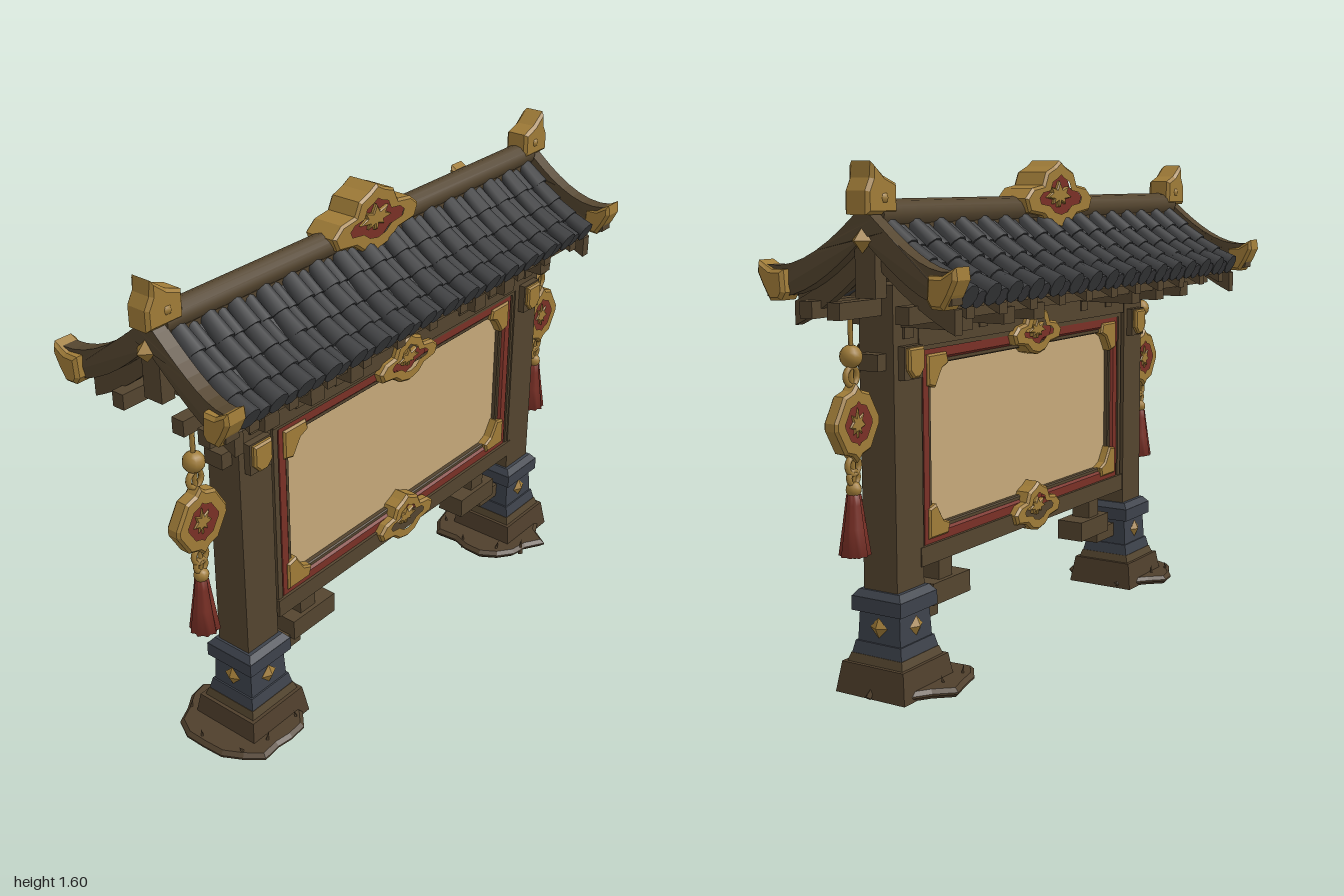
import * as THREE from 'three';

const mat = (name, color) => {
  const m = new THREE.MeshStandardMaterial({ color });
  m.name = name;
  return m;
};

export function createModel() {
  const wood = mat('dark wood', 0x54452f), tile = mat('roof tile', 0x3b3c3e), gold = mat('aged gold', 0xa07c38);
  const red = mat('dark red', 0x7a3026), cream = mat('parchment', 0xc6a97a), iron = mat('blue grey stone', 0x3d424b);
  const earth = mat('earth', 0x4f3f2c);
  const model = new THREE.Group();
  model.name = 'noticeBoard';
  const ZP = 0.115, ZR = 0.01; // post plane and ridge plane

  let seed = 7;
  const rnd = () => (seed = (seed * 16807) % 2147483647) / 2147483647;

  const group = (name, x = 0, y = 0, z = 0, parent = model) => {
    const g = new THREE.Group();
    g.name = name;
    g.position.set(x, y, z);
    parent.add(g);
    return g;
  };
  const add = (parent, name, geo, material, x = 0, y = 0, z = 0) => {
    const m = new THREE.Mesh(geo, material);
    m.name = name;
    m.position.set(x, y, z);
    parent.add(m);
    return m;
  };
  const box = (parent, name, material, w, h, d, x, y, z) =>
    add(parent, name, new THREE.BoxGeometry(w, h, d), material, x, y, z);
  const toShape = (pts) => new THREE.Shape(pts.map(([x, y]) => new THREE.Vector2(x, y)));
  const slab = (shape, depth, bevel = 0) => new THREE.ExtrudeGeometry(shape, {
    depth: depth - 2 * bevel, bevelEnabled: bevel > 0, bevelSize: bevel, bevelOffset: -bevel,
    bevelThickness: bevel, bevelSegments: 1, curveSegments: 8,
  }).translate(0, 0, -depth / 2 + bevel);
  const toSide = (geo) => geo.rotateY(-Math.PI / 2); // profile (z, y) extruded along x
  const mirrored = (half, w, h) => {
    const left = half.filter(([x]) => x > 0).map(([x, y]) => [-x, y]).reverse();
    return toShape([...half, ...left].map(([x, y]) => [x * w, y * h]));
  };

  // Ornament outlines, right half from top to bottom
  const cloud = [[0, 1], [0.17, 0.82], [0.4, 0.66], [0.5, 0.28], [0.8, 0.2], [1, -0.1], [0.9, -0.5], [0.5, -0.6], [0.3, -0.88], [0, -1]];
  const diamond = [[0, 1], [0.2, 0.82], [0.58, 0.72], [0.78, 0.42], [1, 0.1], [1, -0.1], [0.78, -0.42], [0.58, -0.72], [0.2, -0.82], [0, -1]];
  const blossom = [[0, 1], [0.22, 0.4], [0.75, 0.6], [0.6, 0.15], [1, -0.2], [0.45, -0.35], [0.5, -0.7], [0.12, -0.5], [0.1, -0.9], [0, -0.9]];
  const medallion = (name, parent, half, w, h, d, x, y, z) => {
    const g = group(name, x, y, z, parent);
    const core = mirrored(half, w, h);
    core.holes.push(mirrored(half, w * 0.68, h * 0.66));
    add(g, 'goldRim', slab(core, d, 0.008), gold);
    add(g, 'redField', slab(mirrored(half, w * 0.74, h * 0.72), d * 0.75), red);
    add(g, 'blossom', slab(mirrored(blossom, w * 0.36, h * 0.4), d * 0.95, 0.004), gold);
    return g;
  };

  // Posts with stone feet, studs and earth mounds
  [[-1, -0.717, -0.765, 0.19], [1, 0.693, 0.64, 0.21]].forEach(([s, px, ex, er]) => {
    const g = group(s < 0 ? 'rightPost' : 'leftPost', px, 0, ZP);
    box(g, 'post', wood, 0.135, 0.97, 0.125, 0, 0.765, 0);
    box(g, 'clampBlock', wood, 0.09, 0.1, 0.17, 0, 1.02, 0);
    box(g, 'beamEnd', wood, 0.215, 0.05, 0.07, 0, 1.025, 0);
    for (const f of [-1, 1]) {
      const shield = toShape([[-0.038, 0.045], [0.038, 0.045], [0.038, -0.02], [0.015, -0.045], [-0.015, -0.045], [-0.038, -0.02]]);
      add(g, 'shieldPlate', slab(shield, 0.02, 0.006), gold, 0, 1.02, f * 0.09);
    }
    const foot = (name, material, wt, wb, h, y) => add(g, name,
      new THREE.CylinderGeometry(wt * Math.SQRT1_2, wb * Math.SQRT1_2, h, 4).toNonIndexed().rotateY(Math.PI / 4), material, 0, y, 0).geometry.computeVertexNormals();
    foot('plinth', earth, 0.23, 0.26, 0.095, 0.06);
    foot('plinthStep', wood, 0.19, 0.21, 0.03, 0.118);
    foot('footBase', iron, 0.17, 0.19, 0.045, 0.148);
    foot('footBody', iron, 0.15, 0.16, 0.1, 0.215);
    foot('footCap', iron, 0.185, 0.185, 0.045, 0.288);
    foot('footCapTop', iron, 0.15, 0.185, 0.022, 0.32);
    for (let i = 0; i < 4; i++) {
      const stud = add(g, 'stud', new THREE.OctahedronGeometry(0.032, 0).scale(1, 1, 0.5), gold);
      stud.position.set(Math.sin(i * Math.PI / 2) * 0.08, 0.22, Math.cos(i * Math.PI / 2) * 0.08);
      stud.rotation.y = i * Math.PI / 2;
    }
    // Ragged mound
    const rim = [];
    for (let i = 0; i < 18; i++) {
      const a = i / 18 * Math.PI * 2, r = 0.78 + 0.26 * rnd();
      rim.push([Math.cos(a) * er * r, Math.sin(a) * 0.22 * r]);
    }
    add(model, 'earthMound', slab(toShape(rim), 0.03, 0.012).rotateX(-Math.PI / 2), earth, ex, 0.027, ZP);
    for (let i = 0; i < 8; i++) {
      const a = i * 2.4, r = 0.65 + 0.25 * rnd();
      const tuft = add(model, 'tuft', new THREE.ConeGeometry(0.012, 0.06, 4), earth, ex + Math.cos(a) * er * r, 0.04, ZP + Math.sin(a) * 0.2 * r);
      tuft.rotation.z = (rnd() - 0.5) * 1.6;
    }
    // Stepped bracket under the board
    const b = group('lowerBracket', s * 0.46, 0, ZP);
    box(b, 'bracketBlock', wood, 0.2, 0.07, 0.1, 0, 0.275, 0);
    box(b, 'bracketNeck', wood, 0.07, 0.09, 0.07, s * 0.015, 0.345, 0);
    box(b, 'bracketArm', wood, 0.13, 0.05, 0.06, s * 0.115, 0.225, 0);
  });

  // Board: beams, red frame, panel and gold trim on both faces
  const board = group('board', 0, 0.745, ZP);
  box(board, 'bottomBeam', wood, 1.28, 0.06, 0.13, 0, -0.33, 0);
  box(board, 'topBeam', wood, 1.28, 0.075, 0.13, 0, 0.352, 0);
  const rect = (w, h) => toShape([[-w, -h], [w, -h], [w, h], [-w, h]]);
  const frame = (name, material, w, h, t, d, bevel) => {
    const f = rect(w, h);
    f.holes.push(rect(w - t, h - t));
    add(board, name, slab(f, d, bevel), material);
  };
  frame('outerFrame', wood, 0.635, 0.32, 0.02, 0.115, 0);
  frame('redFrame', red, 0.62, 0.312, 0.052, 0.11, 0.012);
  frame('innerTrim', wood, 0.575, 0.268, 0.018, 0.095, 0.004);
  box(board, 'panel', cream, 1.13, 0.52, 0.06, 0, 0, 0);
  for (const sx of [-1, 1]) for (const sy of [-1, 1]) {
    const pts = [[0.59, 0.285], [0.49, 0.285], [0.48, 0.25], [0.515, 0.235], [0.535, 0.205], [0.55, 0.18], [0.59, 0.19]];
    add(board, 'cornerPlate', slab(toShape(pts.map(([x, y]) => [x * sx, y * sy])), 0.125, 0.006), gold);
  }
  medallion('topMedallion', board, cloud, 0.15, 0.085, 0.17, -0.01, 0.31, 0);
  medallion('bottomMedallion', board, cloud, 0.145, 0.085, 0.17, -0.01, -0.295, 0);

  // Roof: strips that follow the sagging slope
  const slope = (s) => 1.43 - 0.95 * s + 0.9 * s * s;
  const strip = (S, top, bottom, thick, lift = 0) => {
    const y = (s) => slope(Math.abs(s)) + lift * Math.pow(Math.abs(s) / 0.33, 4);
    const ss = Array.from({ length: 17 }, (_, i) => (i / 8 - 1) * S);
    return toSide(slab(toShape([...ss.map((s) => [s, y(s) + top]), ...ss.slice().reverse().map((s) => [s, y(s) + bottom])]), thick));
  };
  const roof = group('roof', 0, 0, ZR);
  add(roof, 'tileBed', strip(0.28, 0.005, -0.015, 1.8), tile);
  add(roof, 'roofDeck', strip(0.275, -0.015, -0.03, 1.8), wood);
  for (let i = 0; i < 11; i++) add(roof, 'rafter', strip(0.27, -0.03, -0.065, 0.04), wood, -0.82 + i * 0.164);

  // Overlapping barrel tiles and lower pan tiles
  const up = new THREE.Vector3(0, -1, 0);
  for (let i = 0; i < 31; i++) {
    const barrel = i % 2 === 0, x = -0.855 + i * 0.057;
    for (const side of [-1, 1]) for (let k = 0; k < 4; k++) {
      const s0 = 0.015 + k * 0.068, s1 = s0 + 0.075 - (barrel ? 0 : 0.008);
      const a = new THREE.Vector3(0, slope(s0), s0 * side), b = new THREE.Vector3(0, slope(s1), s1 * side);
      const r = barrel ? 0.034 : 0.026, dir = b.clone().sub(a);
      const t = add(roof, barrel ? 'barrelTile' : 'panTile', new THREE.CylinderGeometry(r * 0.85, r * 1.08, dir.length(), 9), tile);
      t.position.copy(a.add(b).multiplyScalar(0.5)).add(new THREE.Vector3(x + (rnd() - 0.5) * 0.008, barrel ? 0.008 : -0.006, 0));
      t.quaternion.setFromUnitVectors(up, dir.normalize());
    }
  }

  // Gable ends: splayed barge boards, gold tips and ridge finials
  for (const s of [-1, 1]) {
    const g = group(s < 0 ? 'rightGable' : 'leftGable', s * 0.922, 0, 0, roof);
    const barge = strip(0.32, 0.05, -0.04, 0.05, 0.05), p = barge.attributes.position;
    for (let i = 0; i < p.count; i++) p.setX(i, p.getX(i) + s * 0.035 * Math.pow(p.getZ(i) / 0.33, 2));
    barge.computeVertexNormals();
    add(g, 'bargeBoard', barge, wood);
    add(g, 'innerBarge', strip(0.28, -0.03, -0.1, 0.035), wood, -s * 0.03);
    box(g, 'kingBlock', wood, 0.05, 0.19, 0.07, -s * 0.01, 1.32, 0);
    add(g, 'gableStud', new THREE.OctahedronGeometry(0.036, 0), gold, s * 0.025, 1.385, 0);
    for (const f of [-1, 1]) {
      const tip = [[0.245, 1.235], [0.25, 1.3], [0.295, 1.3], [0.34, 1.325], [0.345, 1.29], [0.325, 1.25], [0.3, 1.21], [0.26, 1.212]];
      add(g, 'eaveTip', toSide(slab(toShape(tip.map(([z, y]) => [z * f, y])), 0.08, 0.01)), gold, s * 0.036);
    }
    const finial = [[0.05, 1.455], [-0.085, 1.455], [-0.085, 1.54], [-0.03, 1.56], [0.025, 1.6], [0.03, 1.555], [0.05, 1.52]];
    add(g, 'ridgeFinial', slab(toShape(finial.map(([x, y]) => [x * s, y])), 0.085, 0.01), gold);
    add(g, 'finialBoss', new THREE.SphereGeometry(0.03, 10, 8).scale(1, 1, 1.65), gold, -s * 0.025, 1.5, 0);
  }
  add(roof, 'ridgePole', new THREE.CylinderGeometry(0.042, 0.042, 1.8, 12).rotateZ(Math.PI / 2), wood, 0, 1.455, 0);
  box(roof, 'ridgeBase', wood, 1.8, 0.05, 0.06, 0, 1.42, 0);
  medallion('ridgeMedallion', roof, cloud, 0.21, 0.11, 0.12, -0.017, 1.5, 0);

  // Timbers beneath the roof
  const timbers = group('eaveTimbers');
  for (const z of [-0.125, ZP, 0.215]) box(timbers, 'purlin', wood, 1.9, 0.05, 0.045, 0, 1.185, z);
  box(timbers, 'ridgeBeam', wood, 1.8, 0.06, 0.06, 0, 1.33, ZR);
  for (const x of [-0.717, -0.52, -0.34, 0.3, 0.47, 0.693]) {
    box(timbers, 'crossArm', wood, 0.06, 0.05, 0.41, x, 1.15, 0.045);
    box(timbers, 'armBlock', wood, 0.045, 0.05, 0.14, x, 1.115, ZP);
  }

  // Hanging charms with tassels
  for (const [s, x] of [[-1, -0.9], [1, 0.877]]) {
    const g = group(s < 0 ? 'rightCharm' : 'leftCharm', x, 0, ZP);
    add(g, 'cord', new THREE.CylinderGeometry(0.008, 0.008, 0.72, 6), gold, 0, 0.82 + 0.0, 0);
    add(g, 'hangerCord', new THREE.CylinderGeometry(0.008, 0.008, 0.12, 6), wood, 0, 1.12, 0);
    add(g, 'topBead', new THREE.SphereGeometry(0.034, 12, 8), gold, 0, 1.052, 0);
    for (const [y, r] of [[0.995, 0.026], [0.735, 0.026], [0.7, 0.02]])
      add(g, 'loop', new THREE.TorusGeometry(r, 0.009, 6, 14), gold, 0, y, 0);
    medallion('charmPlaque', g, diamond, 0.1, 0.115, 0.05, 0, 0.86, 0);
    add(g, 'lowerBead', new THREE.SphereGeometry(0.024, 10, 8), gold, 0, 0.665, 0);
    const profile = [[0, 0.66], [0.022, 0.65], [0.026, 0.62], [0.036, 0.55], [0.048, 0.47], [0, 0.475]].reverse();
    const tassel = new THREE.LatheGeometry(profile.map(([r, y]) => new THREE.Vector2(r, y)), 20), p = tassel.attributes.position;
    for (let i = 0; i < p.count; i++) {
      const k = Math.floor(i / profile.length) % 2 ? 0.82 : 1;
      p.setXYZ(i, p.getX(i) * k, p.getY(i), p.getZ(i) * k);
    }
    tassel.computeVertexNormals();
    add(g, 'tassel', tassel, red);
  }
  return model;
}
